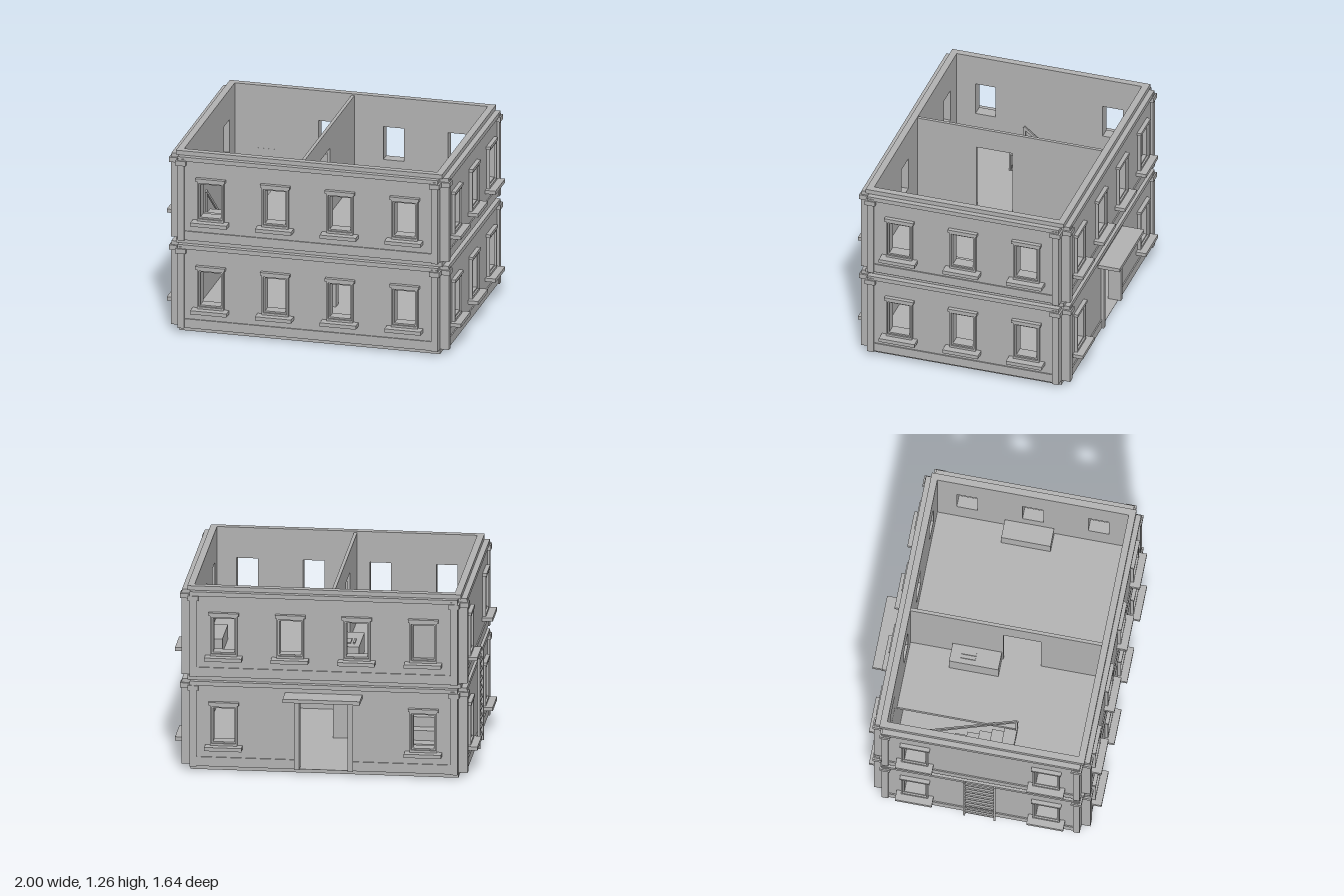
import * as THREE from 'three';

const STONE = new THREE.MeshStandardMaterial({ color: 0xb3b3b3 });
STONE.name = 'grey stone';

const ZC = 0.0375;          // middle of the building in z
const STOREY = 0.615;       // height of one storey module
const BASE = 0.035;         // top of the ground slab
const WALL_H = 0.585;
const OPEN_W = 0.14, OPEN_H = 0.23, OPEN_Y = 0.175; // window opening above storey base

// box given by its lower and upper corners
function box(parent, name, x0, x1, y0, y1, z0, z1) {
  const m = new THREE.Mesh(new THREE.BoxGeometry(x1 - x0, y1 - y0, z1 - z0), STONE);
  m.position.set((x0 + x1) / 2, (y0 + y1) / 2, (z0 + z1) / 2);
  m.name = name;
  parent.add(m);
  return m;
}

function rect(target, x0, x1, y0, y1) {
  target.moveTo(x0, y0);
  target.lineTo(x1, y0);
  target.lineTo(x1, y1);
  target.lineTo(x0, y1);
  target.closePath();
  return target;
}

// flat plate with rectangular holes, lying between z0 and z1
function plate(parent, name, r, holes, z0, z1) {
  const s = rect(new THREE.Shape(), ...r);
  holes.forEach(h => s.holes.push(rect(new THREE.Path(), ...h)));
  const g = new THREE.ExtrudeGeometry(s, { depth: z1 - z0, bevelEnabled: false });
  const m = new THREE.Mesh(g, STONE);
  m.position.z = z0;
  m.name = name;
  parent.add(m);
  return m;
}

// same plate laid flat, shape given in x and z
function flatPlate(parent, name, r, holes, y0, y1) {
  const flip = ([a, b, c, d]) => [a, b, -d, -c];
  const m = plate(parent, name, flip(r), holes.map(flip), 0, y1 - y0);
  m.rotation.x = -Math.PI / 2;
  m.position.set(0, y0, 0);
  return m;
}

// stepped surround, head and sill of one window
function windowTrim(parent, u, y0, d) {
  const g = new THREE.Group();
  g.name = 'windowTrim';
  g.position.set(u, y0 + OPEN_Y, 0);
  const w = OPEN_W / 2;
  plate(g, 'outerFrame', [-0.09, 0.09, -0.025, OPEN_H + 0.03],
    [[-w - 0.01, w + 0.01, -0.01, OPEN_H + 0.01]], d - 0.01, d + 0.022);
  plate(g, 'innerFrame', [-w - 0.012, w + 0.012, -0.012, OPEN_H + 0.012],
    [[-w, w, 0, OPEN_H]], d - 0.01, d + 0.01);
  box(g, 'windowHead', -0.1, 0.1, OPEN_H + 0.022, OPEN_H + 0.042, d - 0.01, d + 0.028);
  box(g, 'windowSill', -0.123, 0.123, -0.05, -0.025, d - 0.01, d + 0.07);
  parent.add(g);
}

// one face of one storey, facing local +z at distance d
function facade(parent, name, angle, y0, span, inner, d, windows, door) {
  const g = new THREE.Group();
  g.name = name;
  g.position.z = ZC;
  g.rotation.y = angle;
  const w = OPEN_W / 2, wy = y0 + OPEN_Y;
  const holes = windows.map(u => [u - w, u + w, wy, wy + OPEN_H]);
  if (door) holes.push([-0.16, 0.16, y0 + 0.002, 0.5]);
  plate(g, 'wall', [-span, span, y0, y0 + WALL_H], holes, inner, d);
  windows.forEach(u => windowTrim(g, u, y0, d));

  // plinth, interrupted by the doorway
  const p = span - 0.045;
  const runs = door ? [[-p, -0.195], [0.195, p]] : [[-p, p]];
  runs.forEach(([a, b]) => box(g, 'plinth', a, b, y0 + 0.006, y0 + 0.066, d - 0.01, d + 0.008));
  box(g, 'cornice', -span, span, y0 + 0.555, y0 + WALL_H, d - 0.01, d + 0.012);
  for (const s of [-1, 1]) {
    const c = s * (span - 0.0225);
    box(g, 'pilaster', c - 0.0225, c + 0.0225, y0, y0 + 0.57, d - 0.01, d + 0.016);
    box(g, 'capital', c - 0.035, c + 0.035, y0 + 0.525, y0 + 0.558, d - 0.04, d + 0.025);
  }
  if (door) {
    for (const s of [-1, 1])
      box(g, 'doorJamb', s * 0.1775 - 0.0175, s * 0.1775 + 0.0175, y0, 0.535, d - 0.03, d + 0.02);
    box(g, 'doorLintel', -0.195, 0.195, 0.5, 0.535, d - 0.03, d + 0.02);
    box(g, 'canopy', -0.255, 0.255, 0.535, 0.56, d - 0.01, d + 0.15);
  }
  parent.add(g);
  return g;
}

function storey(parent, index) {
  const g = new THREE.Group();
  g.name = index ? 'upperStorey' : 'groundStorey';
  const y0 = BASE + index * STOREY;
  const four = [-0.66, -0.22, 0.22, 0.66], three = [-0.44, 0, 0.44];
  facade(g, 'frontFacade', 0, y0, 0.885, 0.64, 0.708, four, false);
  facade(g, 'leftFacade', Math.PI / 2, y0, 0.663, 0.86, 0.93, three, false);
  const back = facade(g, 'backFacade', Math.PI, y0, 0.885, 0.64, 0.708,
    index ? four : [-0.66, 0.66], !index);
  facade(g, 'rightFacade', -Math.PI / 2, y0, 0.663, 0.86, 0.93, [-0.44, 0.44], false);
  // walled-up window above the stairs
  if (index) box(back, 'blindPanel', 0.59, 0.73, y0 + OPEN_Y, y0 + OPEN_Y + OPEN_H, 0.641, 0.69);
  // recessed ring that crowns the storey
  flatPlate(g, 'parapet', [-0.905, 0.905, ZC - 0.685, ZC + 0.685],
    [[-0.86, 0.86, ZC - 0.64, ZC + 0.64]], y0 + WALL_H, y0 + STOREY);
  parent.add(g);
}

function stairs(parent) {
  const g = new THREE.Group();
  g.name = 'stairs';
  const run = 0.083, rise = 0.068, z0 = -0.545;
  for (let i = 0; i < 9; i++) {
    const z = z0 + i * run, top = BASE + rise * (i + 1);
    box(g, 'step', -0.835, -0.535, Math.max(BASE, top - 0.09), top - (i === 8 ? 0.002 : 0), z, z + run);
  }
  // sloping handrails with end posts
  const dz = 0.75, dy = 0.615, len = Math.hypot(dz, dy);
  for (const x of [-0.838, -0.531]) {
    const rail = box(g, 'handrail', -0.006, 0.006, -0.009, 0.009, -len / 2, len / 2);
    rail.position.set(x, BASE + 0.15 + dy / 2, z0 + dz / 2);
    rail.rotation.x = -Math.atan2(dy, dz);
    box(g, 'railPost', x - 0.006, x + 0.006, BASE, BASE + 0.16, z0, z0 + 0.012);
    box(g, 'railPost', x - 0.006, x + 0.006, 0.62, 0.8, z0 + dz - 0.012, z0 + dz);
  }
  parent.add(g);
}

function ladder(parent) {
  const g = new THREE.Group();
  g.name = 'ladder';
  for (const z of [-0.069, 0.134])
    box(g, 'ladderRail', -0.966, -0.95, 0.03, 0.65, z - 0.006, z + 0.006);
  for (let i = 0; i < 9; i++) {
    const y = 0.08 + i * 0.065;
    box(g, 'rung', -0.963, -0.953, y - 0.005, y + 0.005, -0.069, 0.134);
  }
  parent.add(g);
}

export function createModel() {
  const model = new THREE.Group();
  model.name = 'building';

  box(model, 'groundSlab', -0.885, 0.885, 0, BASE, ZC - 0.663, ZC + 0.663);
  storey(model, 0);
  storey(model, 1);

  // upper floor with the stairwell cut out
  flatPlate(model, 'upperFloor', [-0.87, 0.87, ZC - 0.65, ZC + 0.65],
    [[-0.86, -0.53, ZC - 0.64, 0.205]], 0.622, 0.652);
  stairs(model);
  ladder(model);

  // partition with a doorway, standing on the upper floor
  const part = new THREE.Group();
  part.name = 'partition';
  box(part, 'partitionBack', -0.067, -0.045, 0.65, 1.255, ZC - 0.645, 0.02);
  box(part, 'partitionFront', -0.067, -0.045, 0.65, 1.255, 0.27, ZC + 0.645);
  box(part, 'partitionLintel', -0.067, -0.045, 1.11, 1.255, 0.02, 0.27);
  model.add(part);

  // simple furniture
  box(model, 'bench', 0.73, 0.857, 0.65, 0.75, -0.15, 0.18);
  box(model, 'desk', -0.193, -0.067, 0.65, 0.78, -0.32, 0.01);
  box(model, 'deskTray', -0.13, -0.098, 0.78, 0.788, -0.25, -0.15);
  box(model, 'deskTray', -0.158, -0.145, 0.78, 0.788, -0.25, -0.15);
  box(model, 'stool', -0.08, 0.02, BASE, 0.275, 0.05, 0.11);
  return model;
}
